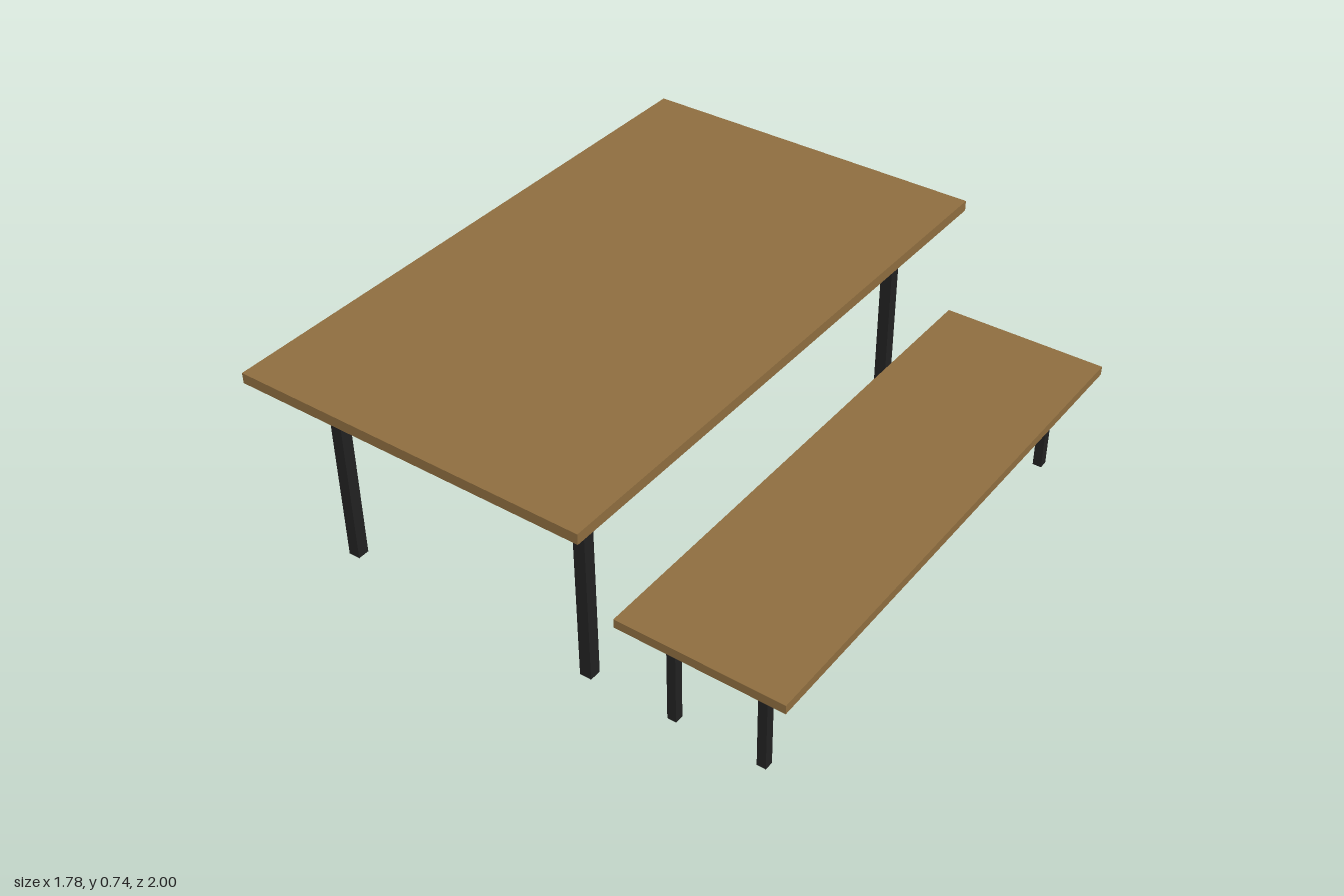
import * as THREE from 'three';

const wood = new THREE.MeshStandardMaterial({ name: 'wood', color: 0x8f6e40 });
const blackMetal = new THREE.MeshStandardMaterial({ name: 'blackMetal', color: 0x222222 });

function addBox(group, name, size, position, material) {
  const mesh = new THREE.Mesh(new THREE.BoxGeometry(...size), material);
  mesh.name = name;
  mesh.position.set(...position);
  group.add(mesh);
}

// A flat board on four square legs, centred on its own origin
function createBoardOnLegs(name, board, leg) {
  const group = new THREE.Group();
  group.name = name;
  addBox(group, name + 'Top', [board.width, board.thickness, board.length],
    [0, leg.height + board.thickness / 2, 0], wood);
  for (const sx of [-1, 1]) {
    for (const sz of [-1, 1]) {
      const legName = name + (sz > 0 ? 'Front' : 'Back') + (sx > 0 ? 'Left' : 'Right') + 'Leg';
      addBox(group, legName, [leg.size, leg.height, leg.size],
        [sx * leg.x, leg.height / 2, sz * leg.z], blackMetal);
    }
  }
  return group;
}

export function createModel() {
  const model = new THREE.Group();
  model.name = 'tableAndBench';

  // Large table
  const table = createBoardOnLegs('table',
    { width: 1.2, thickness: 0.035, length: 2 },
    { size: 0.04, height: 0.7, x: 0.45, z: 0.8 });
  table.position.x = -0.2875;

  // Low bench alongside it
  const bench = createBoardOnLegs('bench',
    { width: 0.55, thickness: 0.03, length: 1.8 },
    { size: 0.03, height: 0.35, x: 0.15, z: 0.8 });
  bench.position.x = 0.6125;

  model.add(table, bench);
  return model;
}
